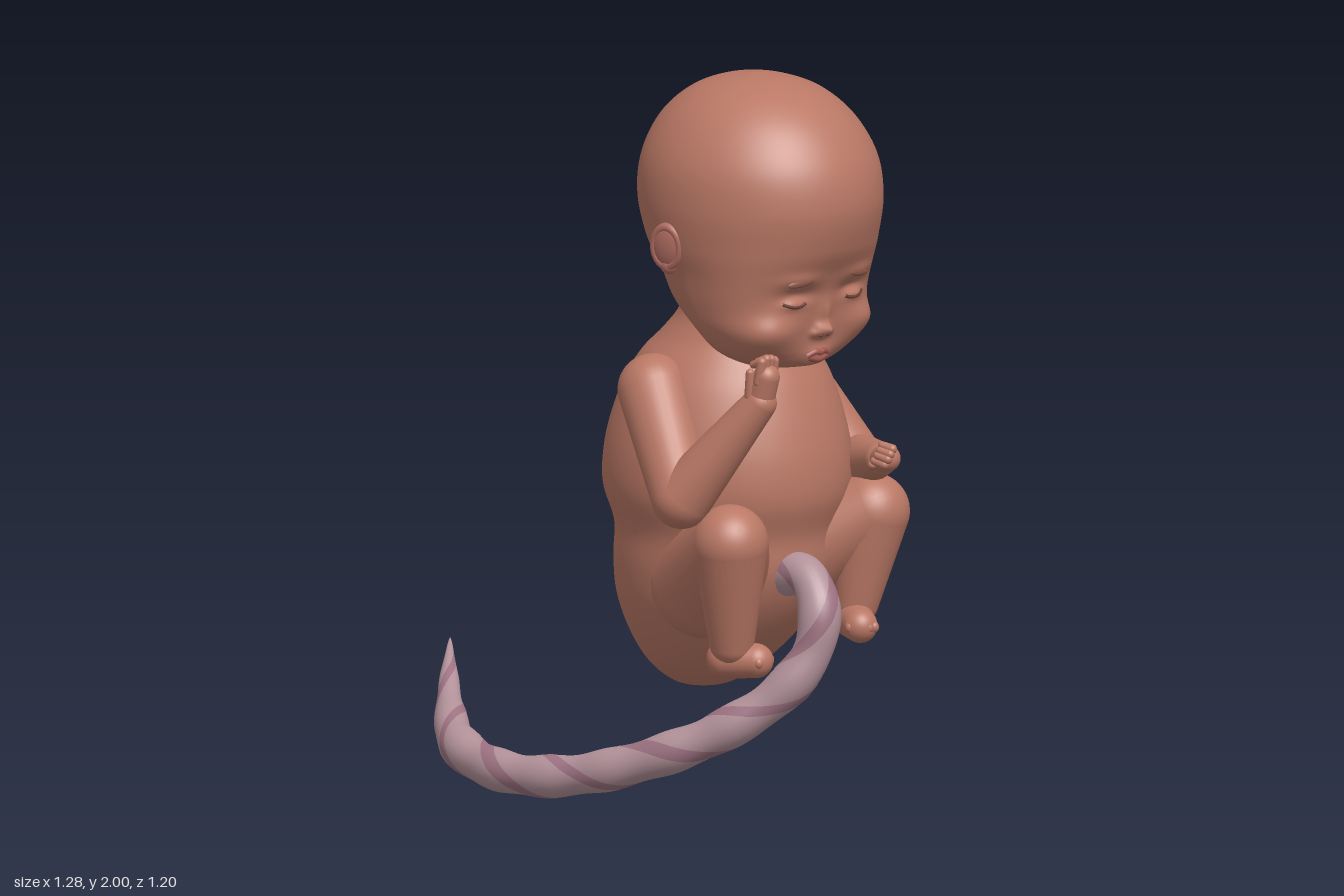
import * as THREE from 'three';
import { mergeVertices } from 'three/addons/utils/BufferGeometryUtils.js';

const mat = (color) => new THREE.MeshStandardMaterial({ color });
const SKIN = mat(0xba7865), PINK = mat(0xb57064), LIP = mat(0xa3574f), DARK = mat(0x6b3f36), BROW = mat(0x8d5748);
const CORD = mat(0xb3929a), STRIPE = mat(0x9f7383);
const V = (x, y, z) => new THREE.Vector3(x, y, z);

function add(parent, name, geometry, material = SKIN) {
  const mesh = new THREE.Mesh(geometry, material);
  mesh.name = name;
  parent.add(mesh);
  return mesh;
}

// Smooth surface from a rule f(u, v) -> point
function surface(f, nu, nv) {
  const pos = [], idx = [], w = nu + 1;
  for (let j = 0; j <= nv; j++)
    for (let i = 0; i <= nu; i++) pos.push(...f(i / nu, j / nv).toArray());
  for (let j = 0; j < nv; j++)
    for (let i = 0; i < nu; i++) {
      const a = j * w + i;
      idx.push(a, a + 1, a + w, a + 1, a + w + 1, a + w);
    }
  let g = new THREE.BufferGeometry();
  g.setAttribute('position', new THREE.Float32BufferAttribute(pos, 3));
  g.setIndex(idx);
  g = mergeVertices(g, 1e-5);
  g.computeVertexNormals();
  return g;
}

// Stack of oval rings [y, centre z, half width, half depth, front squareness], bottom to top
function ringStack(rings) {
  const c1 = new THREE.CatmullRomCurve3(rings.map((r) => V(r[0], r[1], r[2])), false, 'catmullrom');
  const c2 = new THREE.CatmullRomCurve3(rings.map((r) => V(r[3], r[4] ?? 1, 0)), false, 'catmullrom');
  return (t) => {
    const p = c1.getPoint(t), q = c2.getPoint(t);
    return { y: p.x, z: p.y, a: Math.max(p.z, 0), b: Math.max(q.x, 0), p: q.y };
  };
}
// Skin over the rings; relief(x, y) pushes the front half outward, fading at the sides
function loft(ring, cx, nu, nv, relief = () => 0) {
  return surface((u, v) => {
    const r = ring(v), th = -u * Math.PI * 2, c = Math.cos(th), s = Math.sin(th);
    const e = s > 0 ? r.p : 1;
    const x = r.a * Math.sign(c) * Math.abs(c) ** e, z = r.b * Math.sign(s) * Math.abs(s) ** e;
    const d = relief(x, r.y) * THREE.MathUtils.smoothstep(s, 0, 0.75);
    return V(cx + x + d * c, r.y, r.z + z + d * s);
  }, nu, nv);
}

// Two balls joined by a tangent cone
function bone(parent, name, a, b, ra, rb, material = SKIN, sides = 28) {
  const len = a.distanceTo(b), tilt = Math.asin((ra - rb) / len), pts = [], n = 10;
  const arc = (from, to, r, y) => {
    for (let i = 0; i <= n; i++) {
      const t = from + (to - from) * (i / n);
      pts.push(new THREE.Vector2(Math.max(0, r * Math.cos(t)), y + r * Math.sin(t)));
    }
  };
  arc(-Math.PI / 2, tilt, ra, 0);
  arc(tilt, Math.PI / 2, rb, len);
  const m = add(parent, name, new THREE.LatheGeometry(pts, sides), material);
  m.position.copy(a);
  m.quaternion.setFromUnitVectors(V(0, 1, 0), b.clone().sub(a).normalize());
}
function ball(parent, name, p, sx, sy, sz, material = SKIN) {
  const m = add(parent, name, new THREE.SphereGeometry(1, 28, 20), material);
  m.position.copy(p);
  m.scale.set(sx, sy, sz);
  return m;
}

// Palm with curled fingers and a thumb
function hand(parent, wrist, tip, side) {
  const g = new THREE.Group();
  g.name = 'hand';
  parent.add(g);
  const dir = tip.clone().sub(wrist), across = side.clone().normalize();
  const curl = dir.clone().cross(across).normalize();
  const at = (t, s, c) => wrist.clone().addScaledVector(dir, t).addScaledVector(across, s).addScaledVector(curl, c);
  bone(g, 'palm', wrist, at(0.6, 0, 0), 0.038, 0.036);
  for (let i = 0; i < 4; i++) {
    const s = (i - 1.5) * 0.016, reach = 1 - Math.abs(i - 1.3) * 0.05;
    bone(g, 'finger', at(0.5, s, 0), at(reach, s, 0.008), 0.015, 0.013, SKIN, 12);
    bone(g, 'fingertip', at(reach, s, 0.008), at(reach - 0.15, s, 0.034), 0.013, 0.011, SKIN, 12);
  }
  bone(g, 'thumb', at(0.15, -0.028, 0.015), at(0.62, -0.034, 0.03), 0.016, 0.012, SKIN, 12);
}

// Sole with five toes
function foot(parent, heel, toe) {
  const g = new THREE.Group();
  g.name = 'foot';
  parent.add(g);
  const dir = toe.clone().sub(heel).normalize(), across = dir.clone().cross(V(0, 1, 0)).normalize();
  bone(g, 'sole', heel, toe, 0.054, 0.047);
  for (let i = 0; i < 5; i++) {
    const p = toe.clone().addScaledVector(dir, 0.034 - Math.abs(i - 1.5) * 0.006).addScaledVector(across, (i - 2) * 0.016);
    ball(g, 'toe', p, 0.014, 0.016, 0.014);
  }
}

export function createModel() {
  const model = new THREE.Group();
  model.name = 'curledInfant';

  // Torso and head face diagonally
  const body = new THREE.Group();
  body.name = 'body';
  body.rotation.y = Math.PI / 4;
  model.add(body);

  const torso = ringStack([
    [0.29, 0.09, 0, 0], [0.303, 0.09, 0.08, 0.08], [0.36, 0.1, 0.155, 0.16], [0.45, 0.125, 0.22, 0.235],
    [0.55, 0.15, 0.265, 0.29], [0.65, 0.17, 0.285, 0.315], [0.75, 0.178, 0.292, 0.315], [0.85, 0.178, 0.322, 0.345],
    [0.95, 0.18, 0.325, 0.342], [1.05, 0.182, 0.308, 0.318], [1.15, 0.185, 0.275, 0.28], [1.22, 0.19, 0.235, 0.24],
    [1.28, 0.205, 0.19, 0.195], [1.35, 0.23, 0.16, 0.165], [1.45, 0.26, 0.165, 0.17]]);
  add(body, 'torso', loft(torso, 0.03, 64, 70));

  const CX = 0.02;
  const skull = ringStack([
    [1.215, 0.4, 0, 0, 0.9], [1.225, 0.41, 0.115, 0.085, 0.9], [1.265, 0.39, 0.2, 0.14, 0.82], [1.33, 0.365, 0.246, 0.18, 0.78],
    [1.4, 0.335, 0.268, 0.227, 0.77], [1.48, 0.325, 0.285, 0.265, 0.82], [1.56, 0.318, 0.305, 0.315, 0.95],
    [1.67, 0.315, 0.317, 0.345, 1], [1.78, 0.312, 0.304, 0.33, 1], [1.88, 0.306, 0.252, 0.275, 1],
    [1.95, 0.302, 0.177, 0.192, 1], [1.986, 0.3, 0.09, 0.1, 1], [2, 0.3, 0, 0, 1]]);

  // Soft facial relief: [x, y, spread x, spread y, height]
  const bumps = [
    [0, 1.33, 0.021, 0.02, 0.04], [0, 1.375, 0.018, 0.035, 0.017], [0, 1.255, 0.045, 0.022, 0.016], [0, 1.23, 0.04, 0.012, 0.012]];
  for (const s of [-1, 1])
    bumps.push([s * 0.165, 1.33, 0.07, 0.052, 0.032], [s * 0.027, 1.32, 0.012, 0.011, 0.014],
      [s * 0.1, 1.435, 0.055, 0.022, -0.016], [s * 0.115, 1.415, 0.032, 0.016, 0.013], [s * 0.11, 1.48, 0.06, 0.02, 0.008]);
  const relief = (x, y) =>
    bumps.reduce((sum, [bx, by, sx, sy, h]) => sum + h * Math.exp(-(((x - bx) / sx) ** 2) - ((y - by) / sy) ** 2), 0);
  add(body, 'head', loft(skull, CX, 160, 150, relief));

  // Point on the face at sideways offset u and height y
  const face = (u, y, out = 0) => {
    let lo = 0, hi = 1;
    for (let i = 0; i < 30; i++) {
      const m = (lo + hi) / 2;
      if (skull(m).y < y) lo = m; else hi = m;
    }
    const r = skull(lo), n = 2 / r.p;
    return V(CX + u, y, r.z + r.b * Math.max(0, 1 - Math.abs(u / r.a) ** n) ** (1 / n) + relief(u, y) + out);
  };
  const line = (name, pts, r, material) =>
    add(body, name, new THREE.TubeGeometry(new THREE.CatmullRomCurve3(pts), 20, r, 8), material);

  for (const s of [-1, 1]) {
    line('closedEye', [0.075, 0.095, 0.12, 0.15].map((u, i) => face(s * u, [1.412, 1.406, 1.407, 1.417][i], -0.001)), 0.005, DARK);
    const brow = ball(body, 'eyebrow', face(s * 0.11, 1.475, -0.003), 0.042, 0.011, 0.006, BROW);
    brow.rotation.set(0, s * 0.25, -s * 0.12);
    ball(body, 'nostril', face(s * 0.013, 1.314, -0.003), 0.006, 0.004, 0.006, DARK);
    // Ear: flat shell with a low rim and a lobe
    const ear = new THREE.Group();
    ear.name = 'ear';
    ear.position.set(CX + s * 0.3, 1.56, 0.265);
    ear.rotation.set(0.2, s * -0.2, s * -0.1);
    body.add(ear);
    ball(ear, 'earShell', V(0, 0, 0), 0.024, 0.068, 0.05, PINK);
    const rim = add(ear, 'earRim', new THREE.TorusGeometry(0.044, 0.011, 10, 32), PINK);
    rim.rotation.y = Math.PI / 2;
    rim.scale.set(0.95, 1.25, 1);
    rim.position.x = s * 0.008;
    ball(ear, 'earLobe', V(0, -0.055, 0.006), 0.02, 0.025, 0.024, PINK);
  }
  line('upperLip', [-0.04, -0.014, 0, 0.014, 0.04].map((u, i) => face(u, [1.258, 1.268, 1.265, 1.268, 1.258][i], -0.003)), 0.009, LIP);
  line('lowerLip', [-0.034, 0, 0.034].map((u, i) => face(u, [1.254, 1.246, 1.254][i], -0.003)), 0.01, LIP);

  // Arms: shoulder, elbow, wrist, fingertips
  const arms = [
    ['rightArm', V(-0.05, 1.145, 0.28), V(0.025, 0.885, 0.475), V(0.235, 1.16, 0.54), V(0.265, 1.285, 0.565), V(0.6, 0, -0.6)],
    ['leftArm', V(0.29, 1.145, -0.055), V(0.49, 0.89, 0.01), V(0.56, 0.95, 0.26), V(0.59, 0.975, 0.37), V(0.4, 0.8, 0)]];
  for (const [name, shoulder, elbow, wrist, tip, side] of arms) {
    const arm = new THREE.Group();
    arm.name = name;
    model.add(arm);
    bone(arm, 'upperArm', shoulder, elbow, 0.098, 0.082);
    bone(arm, 'forearm', elbow, wrist, 0.082, 0.046);
    hand(arm, wrist, tip, side);
  }

  // Legs: hip, knee, ankle, heel, toes
  const legs = [
    ['rightLeg', V(0.1, 0.62, 0.25), V(0.155, 0.765, 0.482), V(0.16, 0.48, 0.44), V(0.145, 0.435, 0.42), V(0.225, 0.435, 0.45)],
    ['leftLeg', V(0.265, 0.63, 0.1), V(0.535, 0.79, 0.17), V(0.495, 0.54, 0.18), V(0.485, 0.497, 0.18), V(0.505, 0.495, 0.27)]];
  for (const [name, hip, knee, ankle, heel, toe] of legs) {
    const leg = new THREE.Group();
    leg.name = name;
    model.add(leg);
    bone(leg, 'thigh', hip, knee, 0.165, 0.104);
    bone(leg, 'shin', knee, ankle, 0.104, 0.06);
    foot(leg, heel, toe);
  }

  // Cord sweeping from the belly to a pointed end, with spiral stripes
  const path = new THREE.CatmullRomCurve3([
    V(0.29, 0.64, 0.3), V(0.36, 0.655, 0.39), V(0.395, 0.58, 0.45), V(0.375, 0.46, 0.47), V(0.29, 0.35, 0.472),
    V(0.13, 0.24, 0.45), V(-0.08, 0.145, 0.38), V(-0.26, 0.085, 0.27), V(-0.41, 0.062, 0.15), V(-0.52, 0.068, 0),
    V(-0.58, 0.095, -0.15), V(-0.597, 0.14, -0.3), V(-0.6, 0.205, -0.45), V(-0.597, 0.285, -0.61)]);
  const N = 160, frames = path.computeFrenetFrames(N);
  const cordPoint = (th, v, k) => {
    const i = Math.round(v * N);
    const r = k * (0.056 + 0.003 * Math.sin(v * 70)) * Math.min(1, ((1 - v) / 0.24) ** 0.75);
    return path.getPointAt(v)
      .addScaledVector(frames.normals[i], r * Math.cos(th))
      .addScaledVector(frames.binormals[i], r * Math.sin(th));
  };
  add(model, 'cord', surface((u, v) => cordPoint((u % 1) * Math.PI * 2, v, 1), 24, N), CORD);
  for (const [start, width] of [[0, 0.8], [Math.PI, 0.6]])
    add(model, 'cordStripe', surface((u, v) => cordPoint(start + v * 26 + u * width, v, 1.012), 6, N), STRIPE);

  return model;
}
